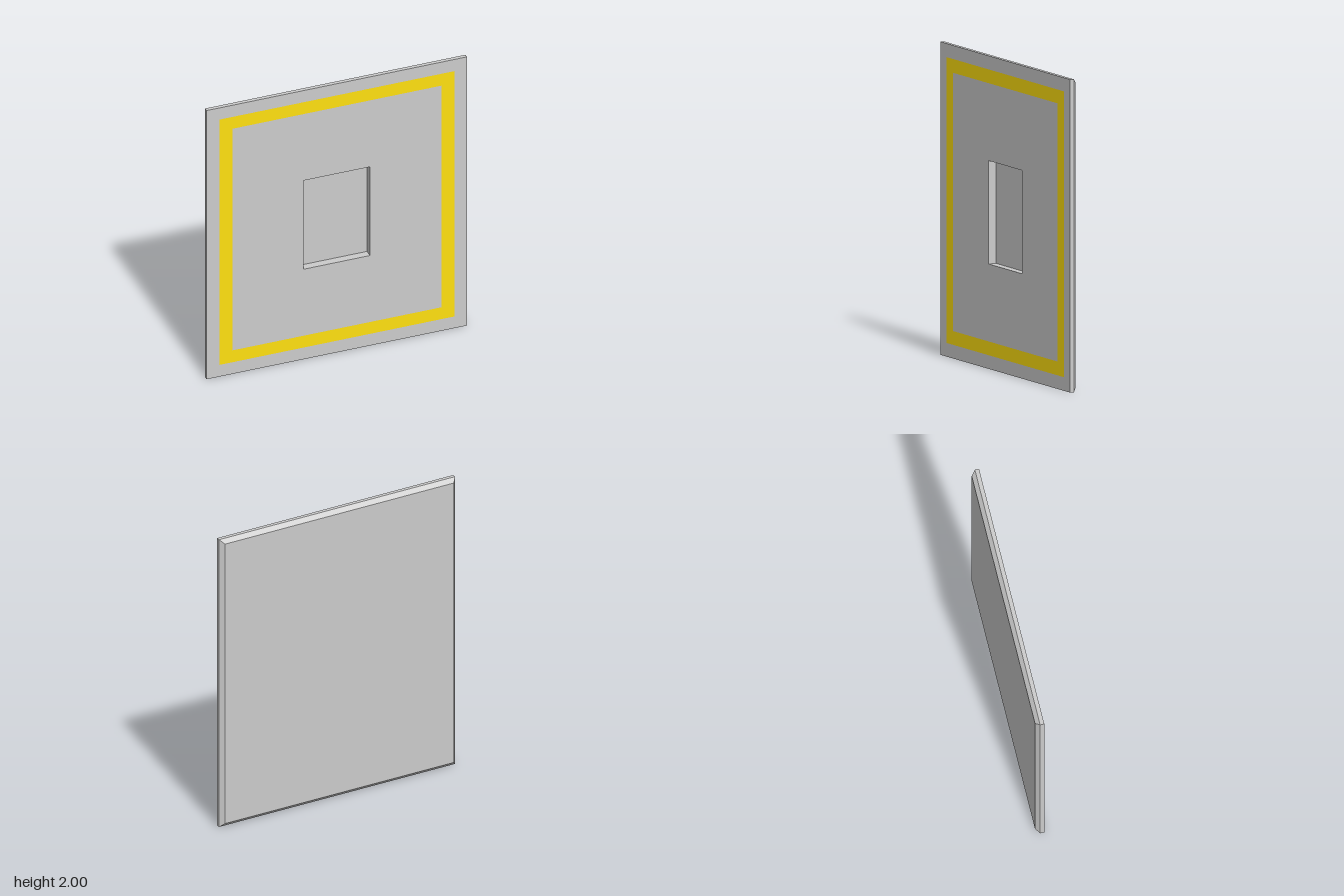
import * as THREE from 'three';

const W = 0.882, H = 1;      // half width and half height of the panel
const F = 0.027;             // half thickness
const BEVEL = 0.027;         // chamfer around the back

// Skin over a series of centred rectangles [halfWidth, halfHeight, z],
// ordered from the front centre outward and round to the back.
function rectLoft(name, rings, color) {
  const corners = [[1, -1], [1, 1], [-1, 1], [-1, -1]];
  const at = ([w, h, z], i) => {
    const [sx, sy] = corners[i % 4];
    return [sx * w, sy * h, z];
  };
  const pos = [];
  for (let r = 0; r < rings.length - 1; r++) {
    const a = rings[r], b = rings[r + 1];
    for (let i = 0; i < 4; i++) {
      const a0 = at(a, i), a1 = at(a, i + 1), b0 = at(b, i), b1 = at(b, i + 1);
      if (b[0] > 0) pos.push(...a0, ...b0, ...b1);
      if (a[0] > 0) pos.push(...a0, ...b1, ...a1);
    }
  }
  const geo = new THREE.BufferGeometry();
  geo.setAttribute('position', new THREE.Float32BufferAttribute(pos, 3));
  geo.computeVertexNormals();
  const mesh = new THREE.Mesh(geo, new THREE.MeshStandardMaterial({ color }));
  mesh.name = name;
  mesh.position.y = H;
  return mesh;
}

export function createModel() {
  const group = new THREE.Group();
  group.name = 'panel';
  const grey = 0xcccccc;
  const stripeIn = [0.708, 0.825, F], stripeOut = [0.796, 0.913, F];

  // recess floor and walls, then the front face up to the stripe
  group.add(rectLoft('recessedFace', [
    [0, 0, -F + 0.001],
    [0.225, 0.33, -F + 0.001],
    [0.225, 0.33, F],
    stripeIn,
  ], grey));

  // painted border, flush with the front
  group.add(rectLoft('yellowStripe', [stripeIn, stripeOut], 0xffe010));

  // front margin, straight edge, chamfer and flat back
  group.add(rectLoft('panelBody', [
    stripeOut,
    [W, H, F],
    [W, H, 0],
    [W - BEVEL, H - BEVEL, -F],
    [0, 0, -F],
  ], grey));

  return group;
}
